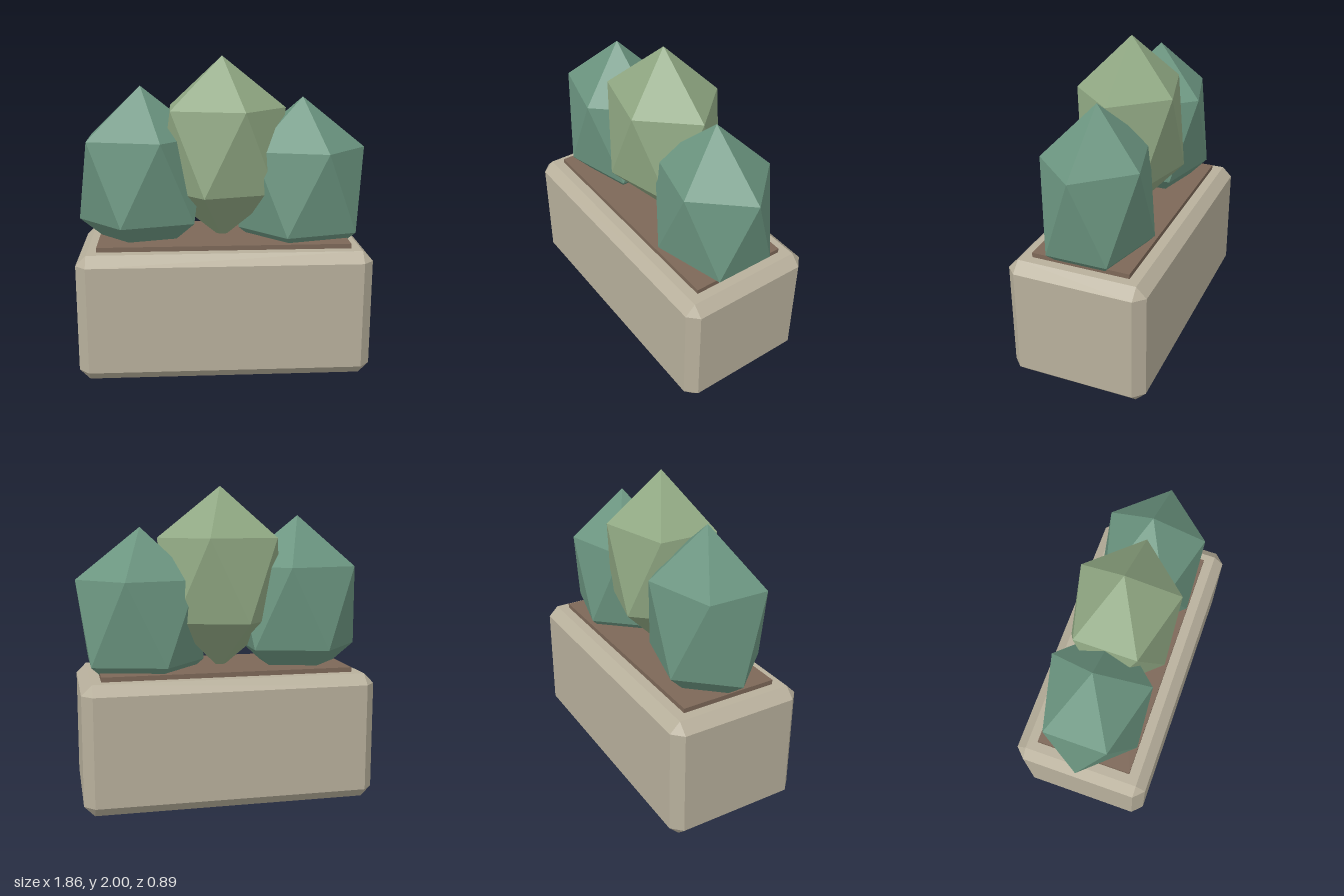
import * as THREE from 'three';
import { ConvexGeometry } from 'three/addons/geometries/ConvexGeometry.js';

const paint = (color) => new THREE.MeshStandardMaterial({ color, flatShading: true });

// Box with every edge and corner cut flat
function chamferedBox(w, h, d, c) {
  const points = [];
  for (const sx of [-1, 1]) for (const sy of [-1, 1]) for (const sz of [-1, 1]) {
    const x = w / 2, y = h / 2, z = d / 2;
    points.push(
      new THREE.Vector3(sx * x, sy * (y - c), sz * (z - c)),
      new THREE.Vector3(sx * (x - c), sy * y, sz * (z - c)),
      new THREE.Vector3(sx * (x - c), sy * (y - c), sz * z)
    );
  }
  return new ConvexGeometry(points);
}

// Icosahedron standing on a corner, with one upper ring corner towards +x
function bushGeometry() {
  const golden = (1 + Math.sqrt(5)) / 2;
  const geometry = new THREE.IcosahedronGeometry(1, 0);
  geometry.rotateZ(-Math.atan(1 / golden));
  geometry.scale(0.459, 0.593, 0.37);
  return geometry;
}

export function createModel() {
  const group = new THREE.Group();
  const add = (name, geometry, material, x, y, z) => {
    const mesh = new THREE.Mesh(geometry, material);
    mesh.name = name;
    mesh.position.set(x, y, z);
    group.add(mesh);
  };

  // Stone planter and soil
  add('planter', chamferedBox(1.85, 0.815, 0.89, 0.065), paint(0xb8b09c), 0, 0.4075, 0);
  add('soil', new THREE.BoxGeometry(1.6, 0.08, 0.63), paint(0x7d6858), 0, 0.805, 0);

  // Three faceted bushes, the middle one taller and lighter
  const bush = bushGeometry();
  const green = paint(0x6b9580);
  add('rightBush', bush, green, -0.52, 1.222, 0);
  add('middleBush', bush, paint(0x90a883), 0, 1.407, 0);
  add('leftBush', bush, green, 0.52, 1.148, 0);

  return group;
}
